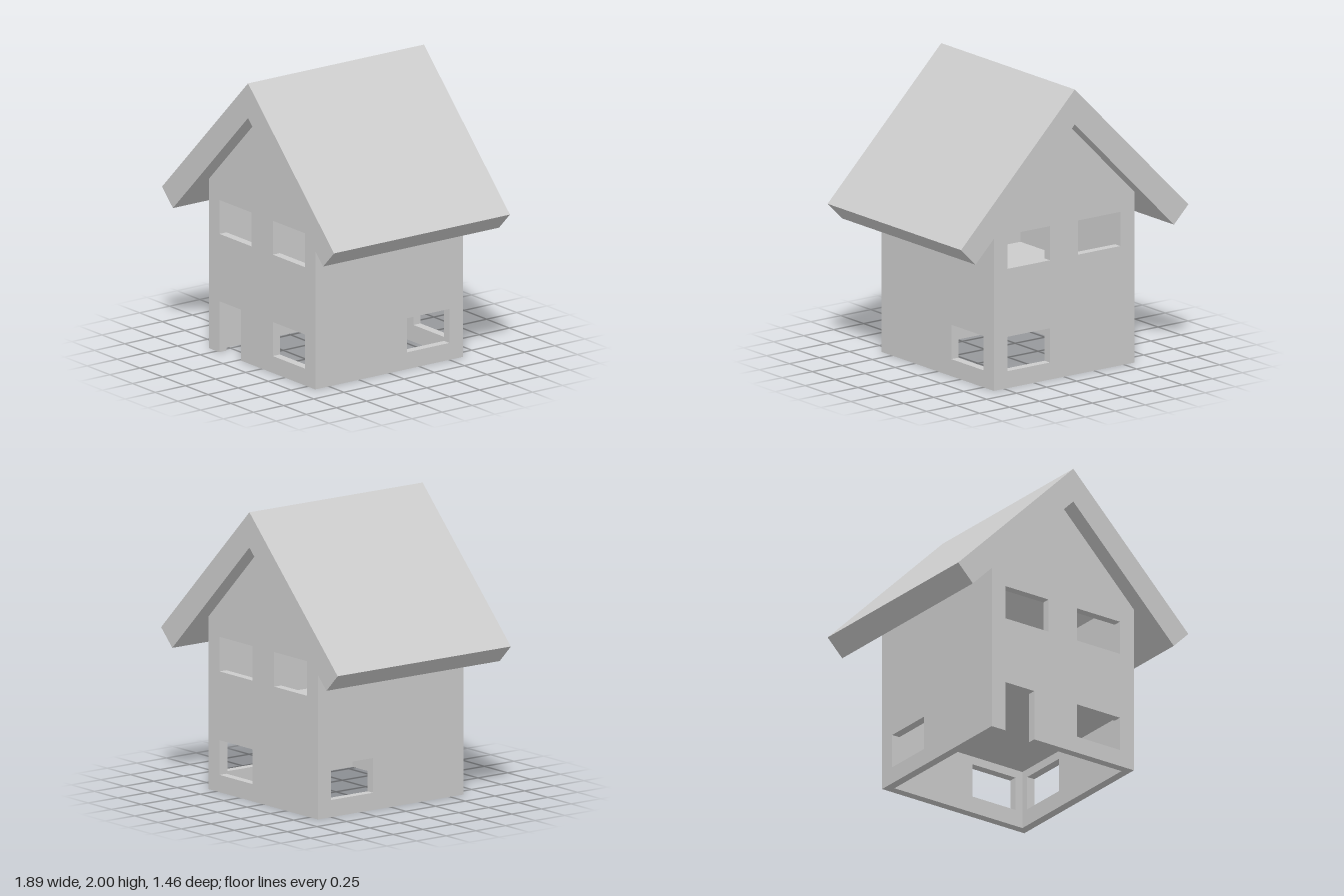
import * as THREE from 'three';

const material = new THREE.MeshStandardMaterial({ color: 0xcccccc, flatShading: true });

// House dimensions
const HALF_W = 0.585, HALF_D = 0.613, WALL = 0.0585;
const EAVES = 1.175, GABLE = 1.76, RIDGE = 2;
const ROOF_HALF_D = 0.73;

const polygon = (points) => new THREE.Shape(points.map(([x, y]) => new THREE.Vector2(x, y)));

// Rectangular opening cut into a wall outline
function cut(shape, x0, x1, y0, y1) {
  const hole = new THREE.Path();
  hole.moveTo(x0, y0).lineTo(x0, y1).lineTo(x1, y1).lineTo(x1, y0).closePath();
  shape.holes.push(hole);
}

function slab(name, shape, depth) {
  const geometry = new THREE.ExtrudeGeometry(shape, { depth, bevelEnabled: false });
  const mesh = new THREE.Mesh(geometry, material);
  mesh.name = name;
  return mesh;
}

// Gable wall with three windows, and a doorway for the front
function gableWall(name, hasDoor) {
  const door = hasDoor ? [[-0.47, 0], [-0.47, 0.353], [-0.235, 0.353], [-0.235, 0]] : [];
  const shape = polygon([
    [-HALF_W, 0], ...door, [HALF_W, 0],
    [HALF_W, EAVES], [0, GABLE], [-HALF_W, EAVES],
  ]);
  cut(shape, -0.47, -0.117, 0.82, 1.055);
  cut(shape, 0.117, 0.47, 0.82, 1.055);
  cut(shape, 0.117, 0.47, 0.117, 0.353);
  return slab(name, shape, WALL);
}

export function createModel() {
  const house = new THREE.Group();
  house.name = 'house';

  // Front and back walls
  const front = gableWall('frontWall', true);
  front.position.z = HALF_D - WALL;
  const back = gableWall('backWall', false);
  back.position.z = -HALF_D;
  house.add(front, back);

  // Side walls between the gables, each with one window near the back
  const inner = HALF_D - WALL;
  for (const side of [1, -1]) {
    const shape = polygon([[-inner, 0], [inner, 0], [inner, EAVES + WALL], [-inner, EAVES + WALL]]);
    cut(shape, 0.147, 0.5, 0.117, 0.353);
    const wall = slab(side > 0 ? 'leftWall' : 'rightWall', shape, WALL);
    wall.rotation.y = Math.PI / 2;
    wall.position.x = side > 0 ? HALF_W - WALL : -HALF_W;
    house.add(wall);
  }

  // Upper floor, an L around the stair opening in the back corner
  const innerX = HALF_W - WALL;
  const floor = slab('upperFloor', polygon([
    [-innerX, -inner], [innerX, -inner], [innerX, inner],
    [-0.117, inner], [-0.117, -0.117], [-innerX, -0.117],
  ]), 0.175);
  floor.rotation.x = -Math.PI / 2;
  floor.position.y = 0.41;
  house.add(floor);

  // Roof, one thick folded slab
  const roof = slab('roof', polygon([
    [0, RIDGE], [-0.947, 1.053], [-0.827, 0.933],
    [0, GABLE], [0.827, 0.933], [0.947, 1.053],
  ]), ROOF_HALF_D * 2);
  roof.position.z = -ROOF_HALF_D;
  house.add(roof);

  return house;
}
